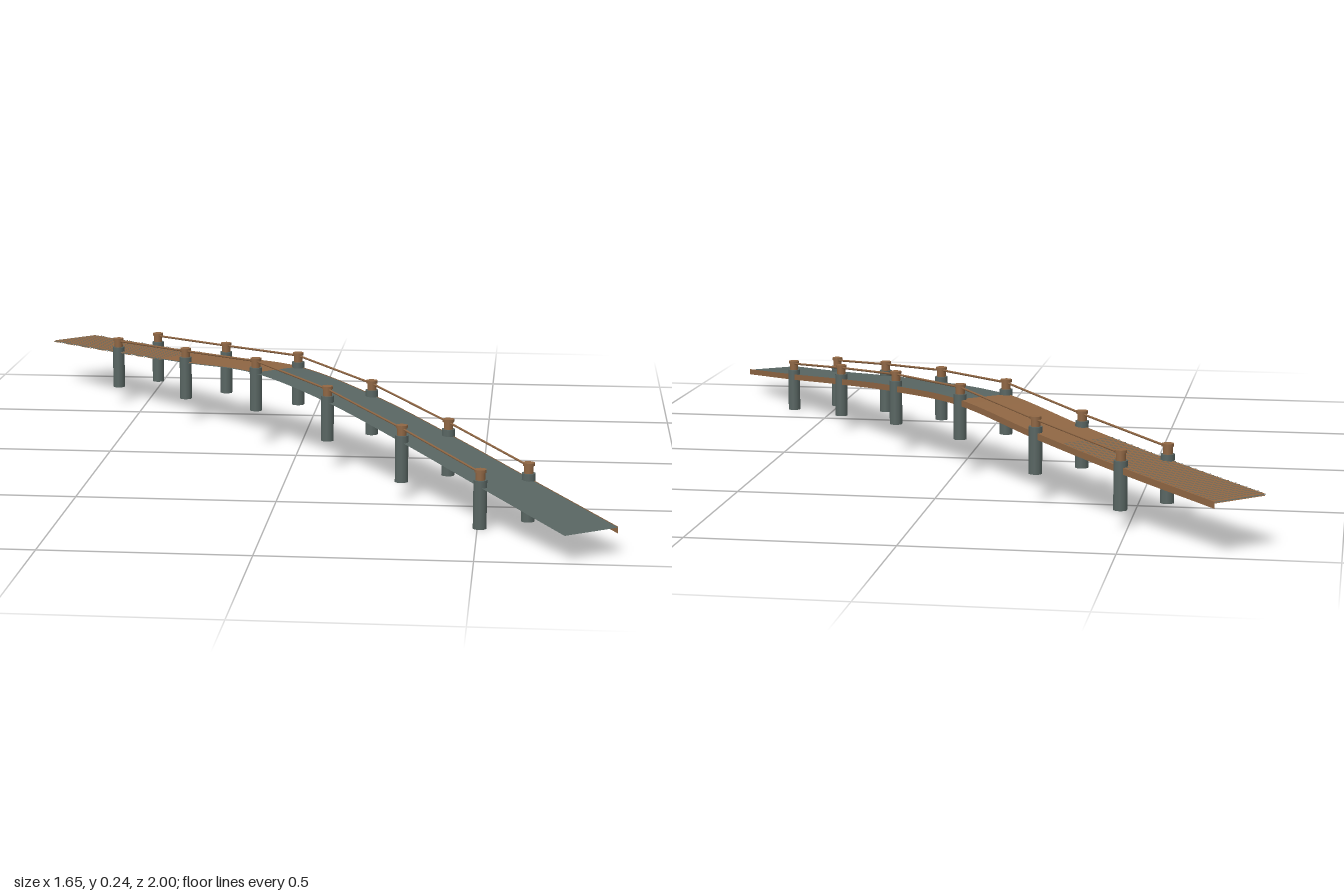
import * as THREE from 'three';
import { mergeGeometries } from 'three/addons/utils/BufferGeometryUtils.js';

const mat = (name, color) => Object.assign(
  new THREE.MeshStandardMaterial({ color, side: THREE.DoubleSide }), { name });

// Centre line of the deck: both ends and the six post stations, evenly spaced
const path = new THREE.CatmullRomCurve3([
  [-0.772, 0.126, -0.95], [-0.533, 0.145, -0.693], [-0.298, 0.169, -0.433], [-0.068, 0.196, -0.168],
  [0.15, 0.178, 0.1], [0.36, 0.142, 0.385], [0.562, 0.102, 0.667], [0.763, 0.064, 0.954],
].map(p => new THREE.Vector3(...p)));

const HALF = 0.074;   // half the deck width
const POST = 0.069;   // post distance from the centre line

// Point on the deck at t, moved sideways (positive towards +x) and up
function at(t, side, up) {
  const p = path.getPoint(t);
  const d = path.getTangent(t).setY(0).normalize();
  return p.add(new THREE.Vector3(d.z * side, up, -d.x * side));
}

// Ribbon along the deck between two [side, up] lines
function ribbon(t0, t1, n, a, b) {
  const pos = [], index = [];
  for (let i = 0; i <= n; i++) {
    const t = t0 + (t1 - t0) * i / n;
    pos.push(...at(t, ...a).toArray(), ...at(t, ...b).toArray());
    if (i < n) {
      const k = 2 * i;
      index.push(k, k + 2, k + 1, k + 1, k + 2, k + 3);
    }
  }
  const g = new THREE.BufferGeometry();
  g.setAttribute('position', new THREE.Float32BufferAttribute(pos, 3));
  g.setIndex(index);
  g.computeVertexNormals();
  return g;
}

export function createModel() {
  const wood = mat('wood', 0x8f6643);
  const slate = mat('slate', 0x586562);
  const model = new THREE.Group();
  model.name = 'footbridge';
  const add = (name, geometry, material, parent = model) => {
    const m = new THREE.Mesh(geometry, material);
    m.name = name;
    parent.add(m);
    return m;
  };

  // Deck: slate base, wooden walkway over the back part, fascia on one edge
  const flat = (t0, t1, n, up) => ribbon(t0, t1, n, [-HALF, up], [HALF, up]);
  add('deckBase', flat(0, 1, 56, 0), slate);
  add('woodenWalkway', flat(0, 3 / 7, 24, 0.002), wood);
  add('edgeFascia', ribbon(0, 1, 56, [HALF, 0.002], [HALF, -0.014]), wood);

  // Worn end of the walkway: thin seams above, slats showing below
  const seams = [], slats = [], bands = 44, wornEnd = 0.235;
  for (let i = 0; i < bands; i++) {
    const t = wornEnd * i / bands, w = wornEnd / bands;
    seams.push(flat(t + w * 0.8, t + w, 1, 0.0035));
    slats.push(flat(t, t + w * 0.7, 1, -0.002));
  }
  add('plankSeams', mergeGeometries(seams), slate);
  add('plankUndersides', mergeGeometries(slats), wood);

  // Posts and rope rails on both sides
  const pile = new THREE.CylinderGeometry(0.017, 0.017, 0.118, 10);
  const head = new THREE.CylinderGeometry(0.012, 0.012, 0.024, 10);
  const cap = new THREE.CylinderGeometry(0.015, 0.015, 0.007, 10);
  for (const [sideName, side] of [['left', POST], ['right', -POST]]) {
    const ties = [];
    for (let i = 1; i <= 6; i++) {
      const post = new THREE.Group();
      post.name = `${sideName}Post${i}`;
      post.position.copy(at(i / 7, side, 0));
      add('pile', pile, slate, post).position.y = -0.043;
      add('postHead', head, wood, post).position.y = 0.026;
      add('postCap', cap, wood, post).position.y = 0.038;
      model.add(post);
      ties.push(at(i / 7, side, 0.033));
    }
    const line = new THREE.CurvePath();
    for (let i = 0; i < 5; i++) line.add(new THREE.LineCurve3(ties[i], ties[i + 1]));
    add(`${sideName}RopeRail`, new THREE.TubeGeometry(line, 50, 0.003, 6), wood);
  }
  return model;
}
